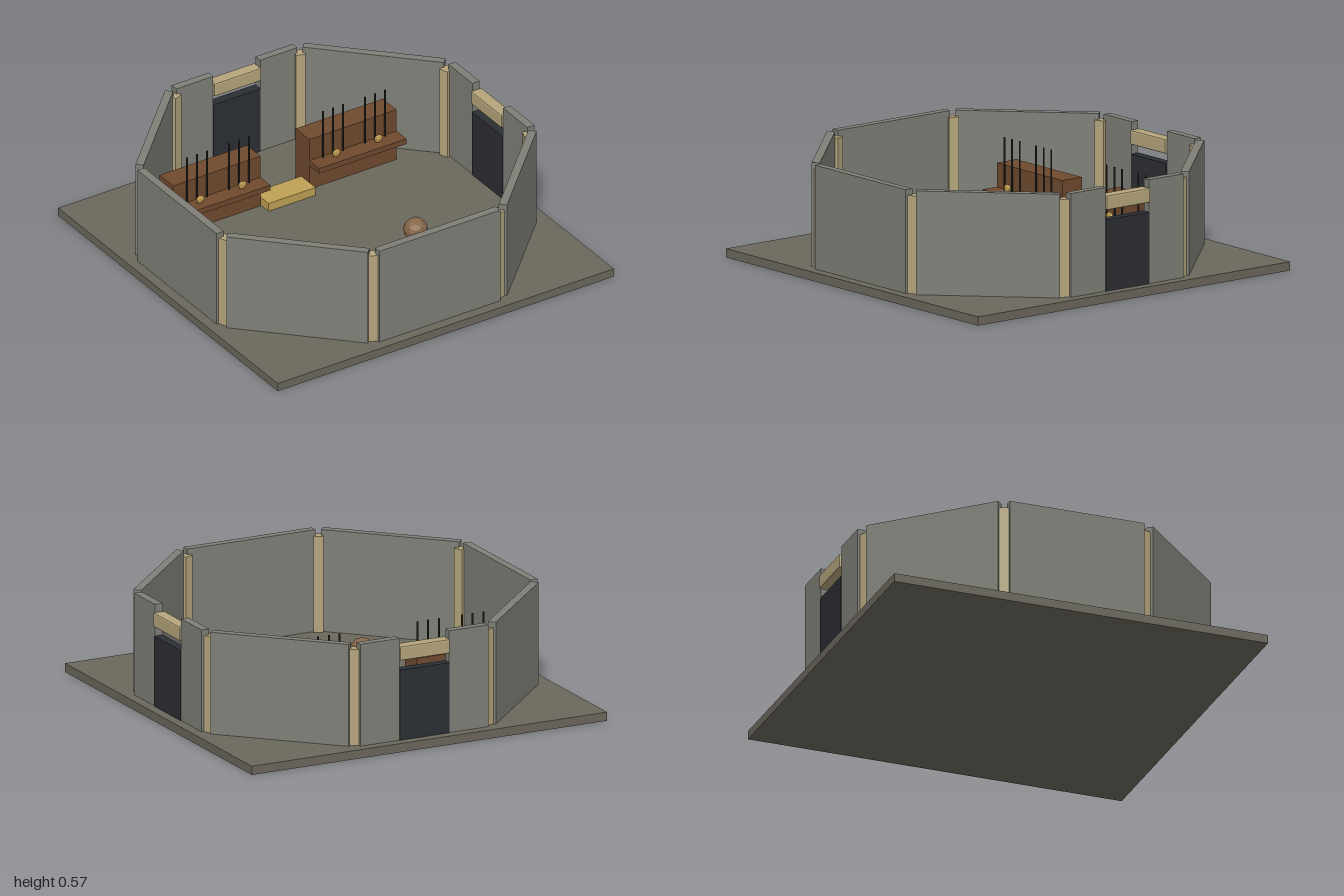
import * as THREE from 'three';
import { RoundedBoxGeometry } from 'three/addons/geometries/RoundedBoxGeometry.js';

const mat = (color) => new THREE.MeshStandardMaterial({ color, flatShading: true });

const FLOOR = 0.045;   // top of the ground slab
const APOTHEM = 0.925; // centre of the ring to the middle of each wall
const WALL_H = 0.53, WALL_T = 0.042, WALL_L = 0.72, DOOR_W = 0.28;

export function createModel() {
  const model = new THREE.Group();
  const stone = mat(0x7f7f78), ground = mat(0x6b675c), tan = mat(0xb5a57c);
  const dark = mat(0x2b2e33), wood = mat(0x6f4a2e), gold = mat(0xc09a4e);
  const straw = mat(0xbfa055), hide = mat(0x86664a), iron = mat(0x2a2a2a);

  const add = (parent, name, geometry, material, x, y, z) => {
    const mesh = new THREE.Mesh(geometry, material);
    mesh.name = name;
    mesh.position.set(x, y, z);
    parent.add(mesh);
    return mesh;
  };
  // Box given by its centre in x and z and its bottom height
  const box = (parent, name, material, w, h, d, x, y, z) =>
    add(parent, name, new THREE.BoxGeometry(w, h, d), material, x, y + h / 2, z);

  box(model, 'groundSlab', ground, 2, FLOOR, 2, 0, 0, 0);

  // Eight-sided ring of walls: doorways on the +x and -z sides
  for (let i = 0; i < 8; i++) {
    const side = new THREE.Group();
    side.name = 'wallSide';
    side.rotation.y = i * Math.PI / 4;
    model.add(side);
    if (i === 2 || i === 4) {
      const w = (WALL_L - DOOR_W) / 2;
      for (const s of [-1, 1]) {
        box(side, 'doorwayWall', stone, w, WALL_H, WALL_T, s * (DOOR_W + w) / 2, FLOOR, APOTHEM);
      }
      box(side, 'door', dark, DOOR_W, 0.365, 0.05, 0, FLOOR, APOTHEM);
      add(side, 'lintel', new RoundedBoxGeometry(DOOR_W, 0.075, 0.064, 1, 0.008), tan, 0, 0.497, APOTHEM);
    } else {
      box(side, 'wall', stone, WALL_L, WALL_H, WALL_T, 0, FLOOR, APOTHEM);
    }
    // Post filling the gap at the corner
    const corner = new THREE.Group();
    corner.name = 'cornerPost';
    corner.rotation.y = Math.PI / 8;
    side.add(corner);
    box(corner, 'post', tan, 0.05, 0.5, 0.05, 0, FLOOR, 0.975);
  }

  // Pair of wooden racks with a front shelf, upright rods and knobs
  for (const s of [-1, 1]) {
    const rack = new THREE.Group();
    rack.name = 'rack';
    rack.position.x = s * 0.405;
    model.add(rack);
    box(rack, 'rackBody', wood, 0.52, 0.29, 0.125, 0, FLOOR, -0.528);
    box(rack, 'rackShelf', wood, 0.52, 0.03, 0.09, 0, 0.182, -0.42);
    for (const k of [-0.125, 0.125]) {
      const knob = add(rack, 'knob', new THREE.SphereGeometry(1, 10, 7), gold, k, 0.233, -0.425);
      knob.scale.set(0.025, 0.022, 0.011);
      for (const o of [-0.06, 0, 0.06]) {
        add(rack, 'rod', new THREE.CylinderGeometry(0.005, 0.005, 0.27, 6), iron, k + o, 0.345, -0.455);
      }
    }
  }

  // Low block between the racks
  box(model, 'lowBlock', straw, 0.28, 0.045, 0.13, 0, FLOOR, -0.465);

  // Faceted balls on the floor
  const ball = new THREE.IcosahedronGeometry(0.062, 1);
  for (const [x, z] of [[-0.56, 0.165], [-0.335, 0.355], [0.33, 0.22], [0.555, 0.445]]) {
    add(model, 'ball', ball, hide, x, 0.103, z);
  }

  return model;
}
